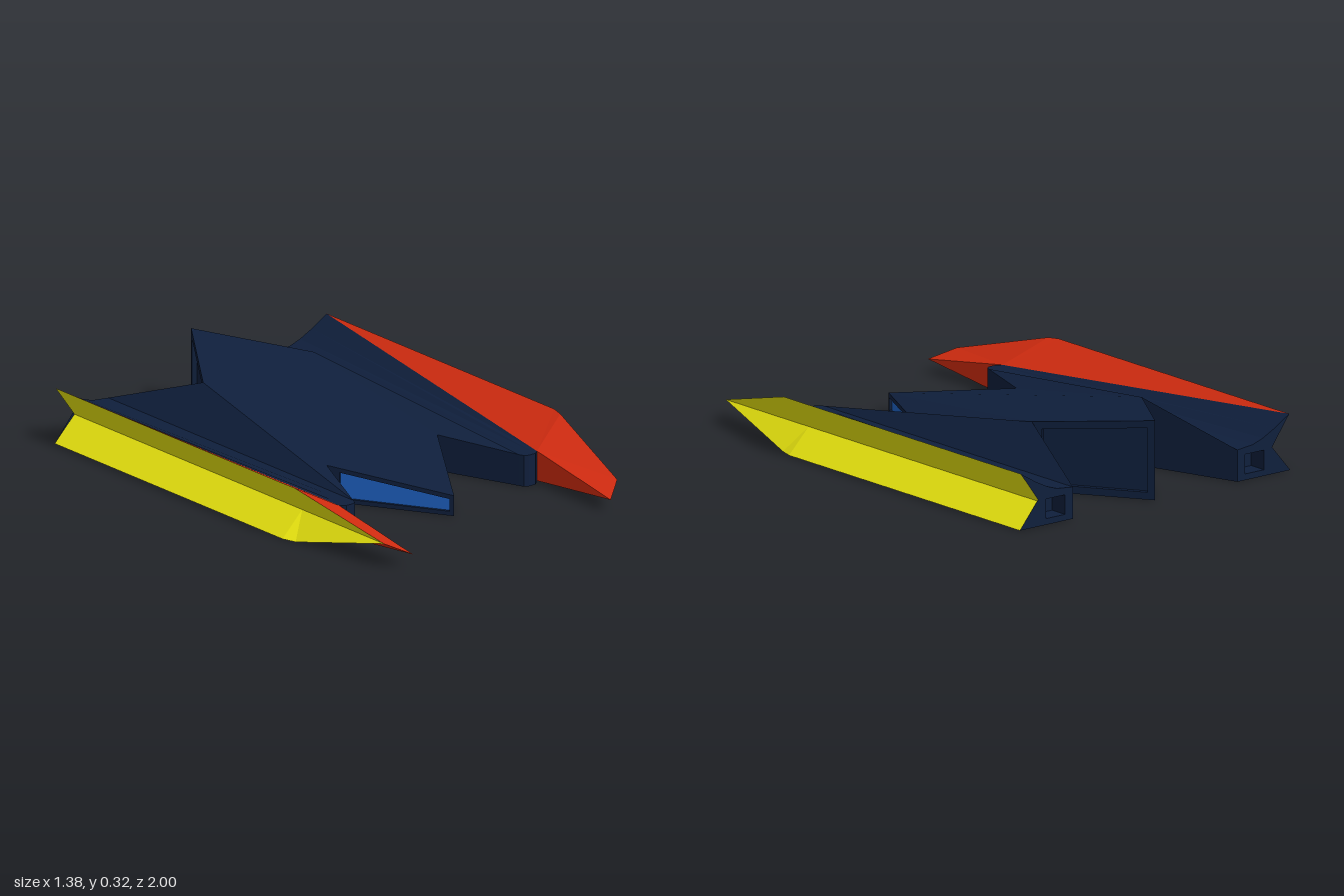
import * as THREE from 'three';

const paint = (color) => new THREE.MeshStandardMaterial({ color, flatShading: true, side: THREE.DoubleSide });

// Flat-shaded mesh from polygons (counter-clockwise seen from outside, fanned from the first corner)
function shell(name, material, polygons, side) {
  const pos = [];
  for (const poly of polygons) {
    for (let i = 1; i < poly.length - 1; i++) {
      const tri = side > 0 ? [poly[0], poly[i], poly[i + 1]] : [poly[0], poly[i + 1], poly[i]];
      for (const [x, y, z] of tri) pos.push(x * side, y, z);
    }
  }
  const geo = new THREE.BufferGeometry();
  geo.setAttribute('position', new THREE.Float32BufferAttribute(pos, 3));
  geo.computeVertexNormals();
  const mesh = new THREE.Mesh(geo, material);
  mesh.name = name;
  return mesh;
}

// Quads between two rows of points
const strip = (a, b) => a.slice(1).map((p, i) => [a[i], b[i], b[i + 1], p]);

// Upright wall from p to q ([x, z, top height]), left to right seen from outside
const wall = (p, q) => [[p[0], 0, p[1]], [q[0], 0, q[1]], [q[0], q[2], q[1]], [p[0], p[2], p[1]]];

// Upright wall with a recessed panel; returns the frame polygons and the panel polygon
function recessedWall(p, q, u0, u1, margin, depth) {
  const outer = wall(p, q);
  const length = Math.hypot(q[0] - p[0], q[1] - p[1]);
  const nx = -(q[1] - p[1]) / length, nz = (q[0] - p[0]) / length;
  const mix = (k, u) => p[k] + (q[k] - p[k]) * u;
  const hole = [[u0, 0], [u1, 0], [u1, 1], [u0, 1]].map(([u, top]) =>
    [mix(0, u), top ? mix(2, u) - margin : margin, mix(1, u)]);
  const back = hole.map(([x, y, z]) => [x - nx * depth, y, z - nz * depth]);
  const frame = [];
  for (let i = 0; i < 4; i++) {
    const j = (i + 1) % 4;
    frame.push([outer[i], outer[j], hole[j], hole[i]], [hole[i], hole[j], back[j], back[i]]);
  }
  return { frame, panel: back };
}

export function createModel() {
  const model = new THREE.Group();
  const navy = paint(0x0f1f3c), red = paint(0xd42c10), yellow = paint(0xf2ee10), blue = paint(0x1f62c4);

  for (const side of [1, -1]) {
    const half = new THREE.Group();
    half.name = side > 0 ? 'leftHalf' : 'rightHalf';
    model.add(half);
    const add = (name, material, polygons) => half.add(shell(name, material, polygons, side));

    // Central hull: sloping roof, shoulder and flat belly
    const tipFront = [0, 0.085, 0.64], tipBack = [0, 0.325, -1];
    const notchFront = [0.28, 0.15, 0.19], notchBack = [0.28, 0.28, -0.58];
    const wingFront = [0.42, 0.13, 0.53], wingBack = [0.42, 0.13, -1];
    add('hullRoof', navy, [[tipFront, notchFront, notchBack, tipBack]]);
    add('hullShoulder', navy, [[notchBack, notchFront, wingFront], [notchBack, wingFront, wingBack]]);
    const nosePad = [wingFront, [0.428, 0.13, 0.548], [0.445, 0.13, 0.557], [0.478, 0.13, 0.557], [0.5, 0.13, 0.54]];
    const floor = ([x, , z]) => [x, 0, z];
    add('belly', navy, [
      [tipFront, tipBack, notchBack, notchFront].map(floor),
      [notchFront, notchBack, wingBack, [0.5, 0, -1], ...[...nosePad].reverse()].map(floor),
    ]);

    // Pointed front with recessed window, pointed back with recessed panel
    const front = recessedWall([0, 0.64, 0.085], [0.28, 0.19, 0.15], 0.035, 0.9, 0.018, 0.012);
    add('windowFrame', navy, front.frame);
    add('window', blue, [front.panel]);
    const rear = recessedWall([0.28, -0.58, 0.28], [0, -1, 0.325], 0.08, 0.94, 0.03, 0.02);
    add('rearFrame', navy, rear.frame);
    add('rearPanel', navy, [rear.panel]);

    // Walls of the notches and rounded front of the wing
    const flat = ([x, y, z]) => [x, z, y];
    add('notchWalls', navy, [wall(flat(notchFront), flat(wingFront)), wall(flat(wingBack), flat(notchBack))]);
    add('wingNose', navy, nosePad.slice(1).map((p, i) => wall(flat(nosePad[i]), flat(p))));

    // Wing top, curving up to the outer edge at the back
    const rearEdge = [wingBack, [0.5, 0.138, -1], [0.55, 0.155, -1], [0.61, 0.185, -1], [0.685, 0.23, -1]];
    add('wingTop', navy, strip(rearEdge, nosePad));

    // Wing tail with a recessed exhaust
    const exhaust = recessedWall([0.58, -1, 0.13], [0.42, -1, 0.13], 0.15, 0.75, 0.025, 0.08);
    add('tailFrame', navy, [...exhaust.frame,
      [[0.69, 0, -1], [0.58, 0, -1], [0.58, 0.13, -1], [0.59, 0.1, -1]],
      [[0.58, 0.13, -1], ...rearEdge, [0.59, 0.1, -1]],
    ]);
    add('exhaust', navy, [exhaust.panel]);

    // Side fender: V-grooved outside running to a pointed prow
    const prow = [0.59, 0.1, 0.93], prowTip = [0.5, 0.055, 1];
    const upper = [[0.685, 0.23, -1], [0.685, 0.23, 0.42], [0.675, 0.226, 0.47], prow];
    const groove = [[0.59, 0.1, -1], [0.59, 0.1, 0.42], [0.59, 0.1, 0.47], prow];
    const lower = [[0.69, 0, -1], [0.69, 0, 0.42], [0.672, 0, 0.48], prow];
    add('fenderGroove', yellow, [...strip(upper, groove), ...strip(groove, lower)]);

    // Fender top, underside and inner face of the prow
    const inner = nosePad[4];
    add('fenderTop', red, [[inner, upper[1], upper[0]], [inner, upper[2], upper[1]],
      [inner, prow, upper[2]], [inner, prowTip, prow]]);
    const keel = [0.5, 0, 0.48];
    add('fenderUnderside', red, [[keel, [0.5, 0, -1], lower[0], lower[1], lower[2]],
      [keel, lower[2], prow], [keel, prow, prowTip]]);
    add('prowInnerFace', red, [[keel, prowTip, inner]]);
  }
  return model;
}
